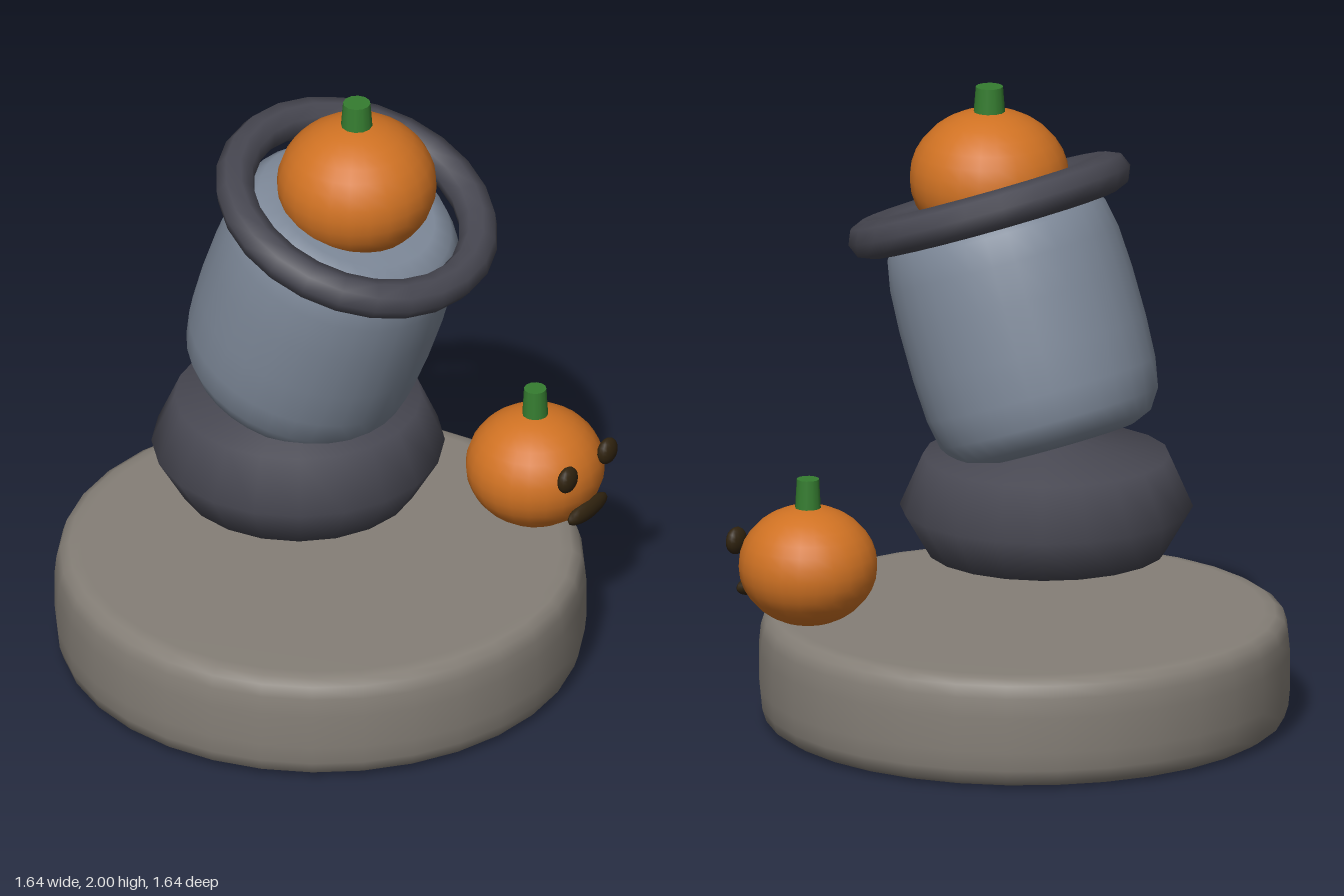
import * as THREE from 'three';

const material = (name, color) => {
  const m = new THREE.MeshStandardMaterial({ color });
  m.name = name;
  return m;
};

export function createModel() {
  const stone = material('stone', 0x857f77);
  const iron = material('dark iron', 0x474751);
  const steel = material('blue steel', 0x7d8898);
  const orange = material('pumpkin orange', 0xd07223);
  const green = material('stem green', 0x357c30);
  const black = material('face black', 0x30230f);

  const model = new THREE.Group();
  model.name = 'pumpkinMortar';

  const add = (parent, name, geometry, mat, x = 0, y = 0, z = 0) => {
    const mesh = new THREE.Mesh(geometry, mat);
    mesh.name = name;
    mesh.position.set(x, y, z);
    parent.add(mesh);
    return mesh;
  };
  // Profiles run from bottom to top as [radius, height]
  const lathe = (profile, sides) =>
    new THREE.LatheGeometry(profile.map(([r, y]) => new THREE.Vector2(r, y)), sides);
  const ellipsoid = (rx, ry, rz, w = 24, h = 16) =>
    new THREE.SphereGeometry(1, w, h).scale(rx, ry, rz);

  // Round stone base with softened edges
  add(model, 'base', lathe([
    [0, 0], [0.74, 0], [0.775, 0.005], [0.802, 0.022], [0.814, 0.06], [0.82, 0.12],
    [0.82, 0.23], [0.814, 0.29], [0.802, 0.328], [0.775, 0.345], [0.74, 0.35], [0, 0.35],
  ], 32), stone);

  // Squat faceted mount, shallow cones above and below
  add(model, 'mount', lathe([
    [0, 0.465], [0.37, 0.56], [0.452, 0.7], [0.38, 0.863], [0, 0.94],
  ], 20), iron, 0, 0, -0.085);

  // Barrel and its muzzle ring lean forward together
  const barrelGroup = new THREE.Group();
  barrelGroup.name = 'barrelAssembly';
  barrelGroup.position.set(0, 1.62, 0.137);
  barrelGroup.rotation.x = THREE.MathUtils.degToRad(20);
  model.add(barrelGroup);
  add(barrelGroup, 'barrel', lathe([
    [0, -0.765], [0.25, -0.765], [0.31, -0.74], [0.35, -0.68], [0.367, -0.59], [0.374, -0.46],
    [0.374, -0.3], [0.367, -0.17], [0.35, -0.08], [0.31, -0.022], [0.25, 0], [0, 0],
  ], 32), steel);
  add(barrelGroup, 'muzzleRing', new THREE.TorusGeometry(0.392, 0.061, 8, 24).rotateX(Math.PI / 2), iron);

  // Pumpkin: slightly flattened ball with a tapered stem
  const pumpkin = (name, x, y, z, radius, stemRadius, stemTop) => {
    const group = new THREE.Group();
    group.name = name;
    group.position.set(x, y, z);
    model.add(group);
    const ry = radius * 0.87;
    add(group, 'pumpkinBody', ellipsoid(radius, ry, radius), orange);
    const bottom = ry - 0.02;
    const height = stemTop - y - bottom;
    add(group, 'stem', new THREE.CylinderGeometry(stemRadius * 0.85, stemRadius, height, 12),
      green, 0, bottom + height / 2, 0);
    return group;
  };
  pumpkin('loadedPumpkin', 0, 1.71, 0.137, 0.247, 0.05, 2.0);
  const facePumpkin = pumpkin('facePumpkin', 0.525, 0.535, 0.437, 0.215, 0.041, 0.81);

  // Face on the small pumpkin
  for (const side of [-1, 1]) {
    add(facePumpkin, side > 0 ? 'leftEye' : 'rightEye', ellipsoid(0.043, 0.043, 0.025, 14, 10),
      black, side * 0.105, 0.067, 0.198);
  }
  add(facePumpkin, 'mouth', ellipsoid(0.1, 0.034, 0.025, 16, 10), black, 0, -0.09, 0.198);

  return model;
}
